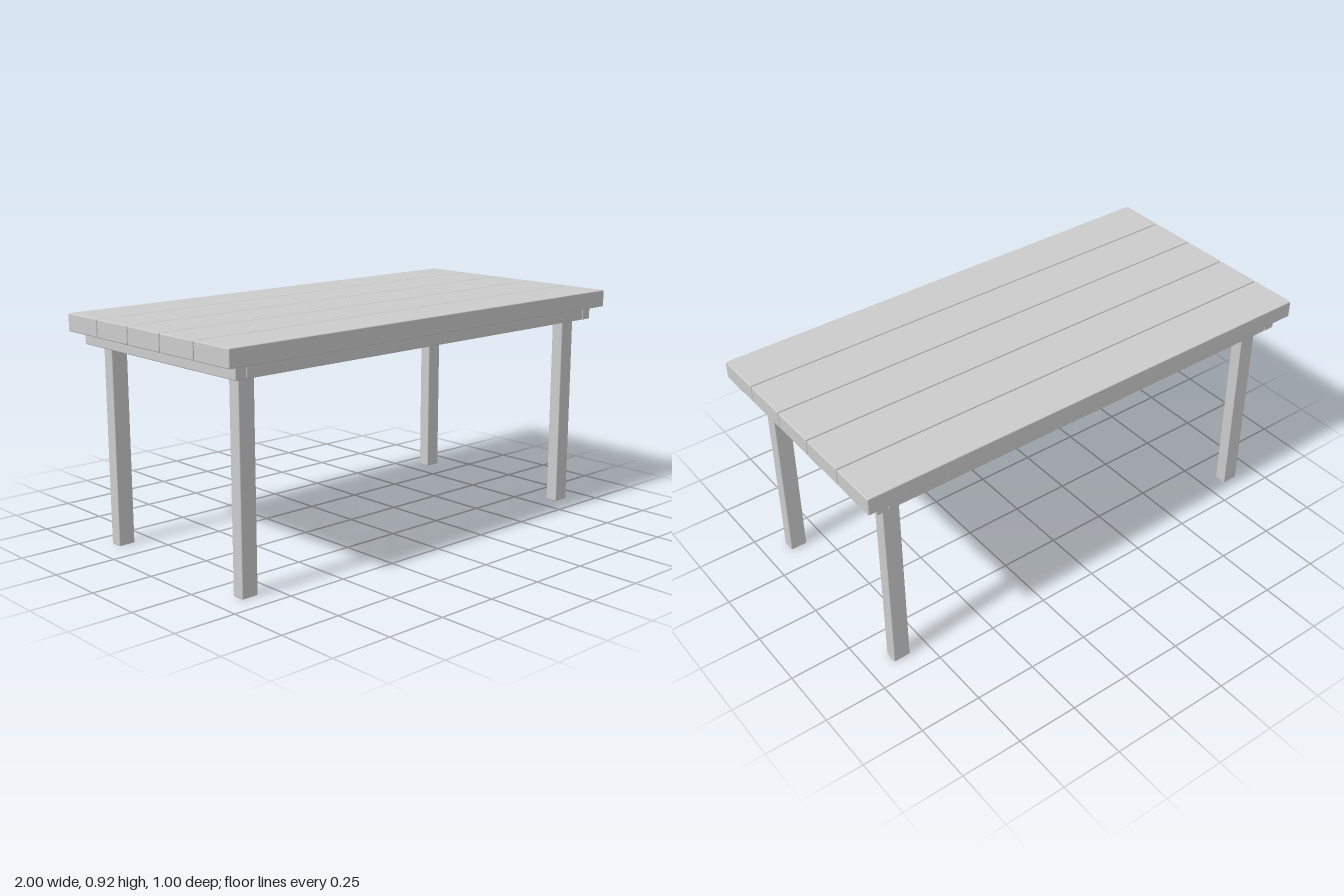
import * as THREE from 'three';
import { RoundedBoxGeometry } from 'three/addons/geometries/RoundedBoxGeometry.js';

const material = new THREE.MeshStandardMaterial({ color: 0xcccccc });

// Timber with slightly eased edges, placed by its centre
function board(name, w, h, d, x, y, z) {
  const mesh = new THREE.Mesh(new RoundedBoxGeometry(w, h, d, 2, 0.004), material);
  mesh.name = name;
  mesh.position.set(x, y, z);
  return mesh;
}

export function createModel() {
  const table = new THREE.Group();
  table.name = 'table';

  // Five planks with narrow gaps
  const top = new THREE.Group();
  top.name = 'tableTop';
  for (let i = -2; i <= 2; i++) {
    top.add(board('plank', 2, 0.07, 0.196, 0, 0.885, i * 0.2));
  }
  table.add(top);

  // Rail frame under the planks: end rails run the full depth, long rails fit between
  const frame = new THREE.Group();
  frame.name = 'railFrame';
  for (const s of [-1, 1]) {
    frame.add(board('endRail', 0.048, 0.05, 0.93, s * 0.926, 0.824, 0));
    frame.add(board('longRail', 1.804, 0.05, 0.048, 0, 0.824, s * 0.44));
  }
  table.add(frame);

  // Legs stand inside the frame corners and reach the planks
  for (const sx of [-1, 1]) {
    for (const sz of [-1, 1]) {
      table.add(board('leg', 0.07, 0.85, 0.052, sx * 0.865, 0.425, sz * 0.389));
    }
  }
  return table;
}
